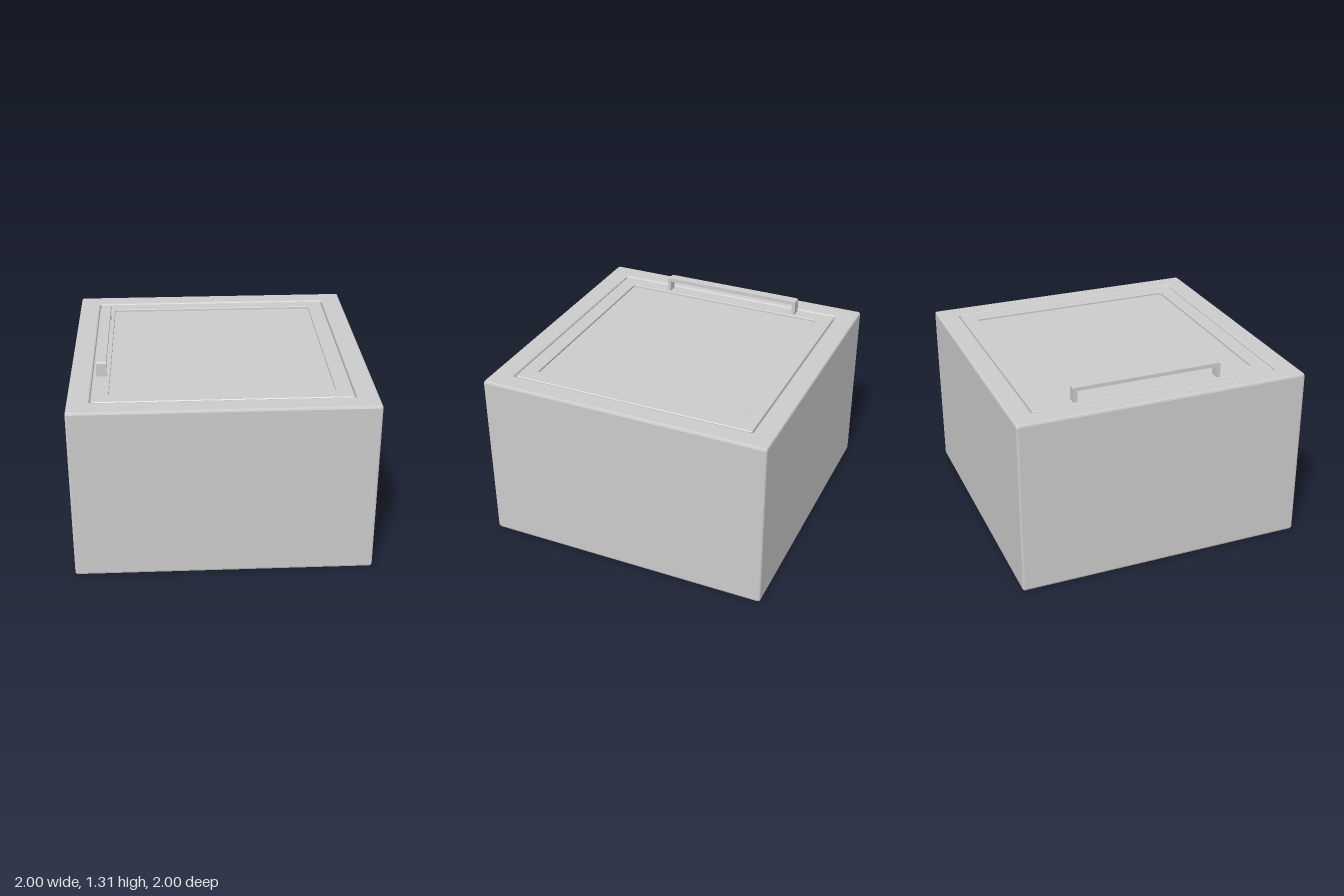
import * as THREE from 'three';

const material = new THREE.MeshStandardMaterial({ color: 0xcccccc });
const CORNER = 0.015;

// Outline of a square with rounded corners, at half-width h and height y
function ring(h, y) {
  const r = Math.min(CORNER, h), points = [];
  for (let corner = 0; corner < 4; corner++) {
    const mid = Math.PI / 4 + corner * Math.PI / 2;
    const cx = Math.sign(Math.cos(mid)) * (h - r);
    const cz = Math.sign(Math.sin(mid)) * (h - r);
    for (let s = 0; s <= 3; s++) {
      const a = (corner + s / 3) * Math.PI / 2;
      points.push([cx + r * Math.cos(a), y, cz + r * Math.sin(a)]);
    }
  }
  return points;
}

// Skin a stack of square sections [half-width, height]
function squareLoft(sections) {
  const rings = sections.map(([h, y]) => ring(h, y));
  const positions = [];
  for (let i = 0; i < rings.length - 1; i++) {
    const low = rings[i], high = rings[i + 1], n = low.length;
    for (let j = 0; j < n; j++) {
      const k = (j + 1) % n;
      if (sections[i + 1][0] > 0) positions.push(...low[k], ...high[j], ...high[k]);
      if (sections[i][0] > 0) positions.push(...low[j], ...high[j], ...low[k]);
    }
  }
  const geometry = new THREE.BufferGeometry();
  geometry.setAttribute('position', new THREE.Float32BufferAttribute(positions, 3));
  geometry.computeVertexNormals();
  return geometry;
}

function addPart(group, name, geometry) {
  const mesh = new THREE.Mesh(geometry, material);
  mesh.name = name;
  group.add(mesh);
}

// Bracket-shaped pull handle: two legs joined by a bar, rounded outside
function handleGeometry() {
  const z0 = -0.567, z1 = 0.457, bottom = 1.2, top = 1.31, t = 0.025, r = 0.014;
  const shape = new THREE.Shape();
  shape.moveTo(z0, bottom);
  shape.lineTo(z0 + t, bottom);
  shape.lineTo(z0 + t, top - t);
  shape.lineTo(z1 - t, top - t);
  shape.lineTo(z1 - t, bottom);
  shape.lineTo(z1, bottom);
  shape.lineTo(z1, top - r);
  shape.quadraticCurveTo(z1, top, z1 - r, top);
  shape.lineTo(z0 + r, top);
  shape.quadraticCurveTo(z0, top, z0, top - r);
  const geometry = new THREE.ExtrudeGeometry(shape, { depth: 0.068, bevelEnabled: false, curveSegments: 4 });
  return geometry.rotateY(-Math.PI / 2).translate(-0.757, 0, 0);
}

export function createModel() {
  const group = new THREE.Group();
  group.name = 'cabinet';

  // Box with softened edges and a shallow opening in its top
  addPart(group, 'body', squareLoft([
    [0, 0], [0.985, 0], [0.996, 0.004], [1, 0.015],
    [1, 1.195], [0.996, 1.206], [0.985, 1.21],
    [0.865, 1.21], [0.857, 1.207], [0.853, 1.2], [0.853, 1.18], [0, 1.18],
  ]));

  // Door set into the opening, with a sunken centre panel
  addPart(group, 'door', squareLoft([
    [0.845, 1.18], [0.845, 1.202], [0.84, 1.207],
    [0.738, 1.207], [0.735, 1.204], [0.735, 1.192], [0, 1.192],
  ]));

  addPart(group, 'handle', handleGeometry());
  return group;
}
